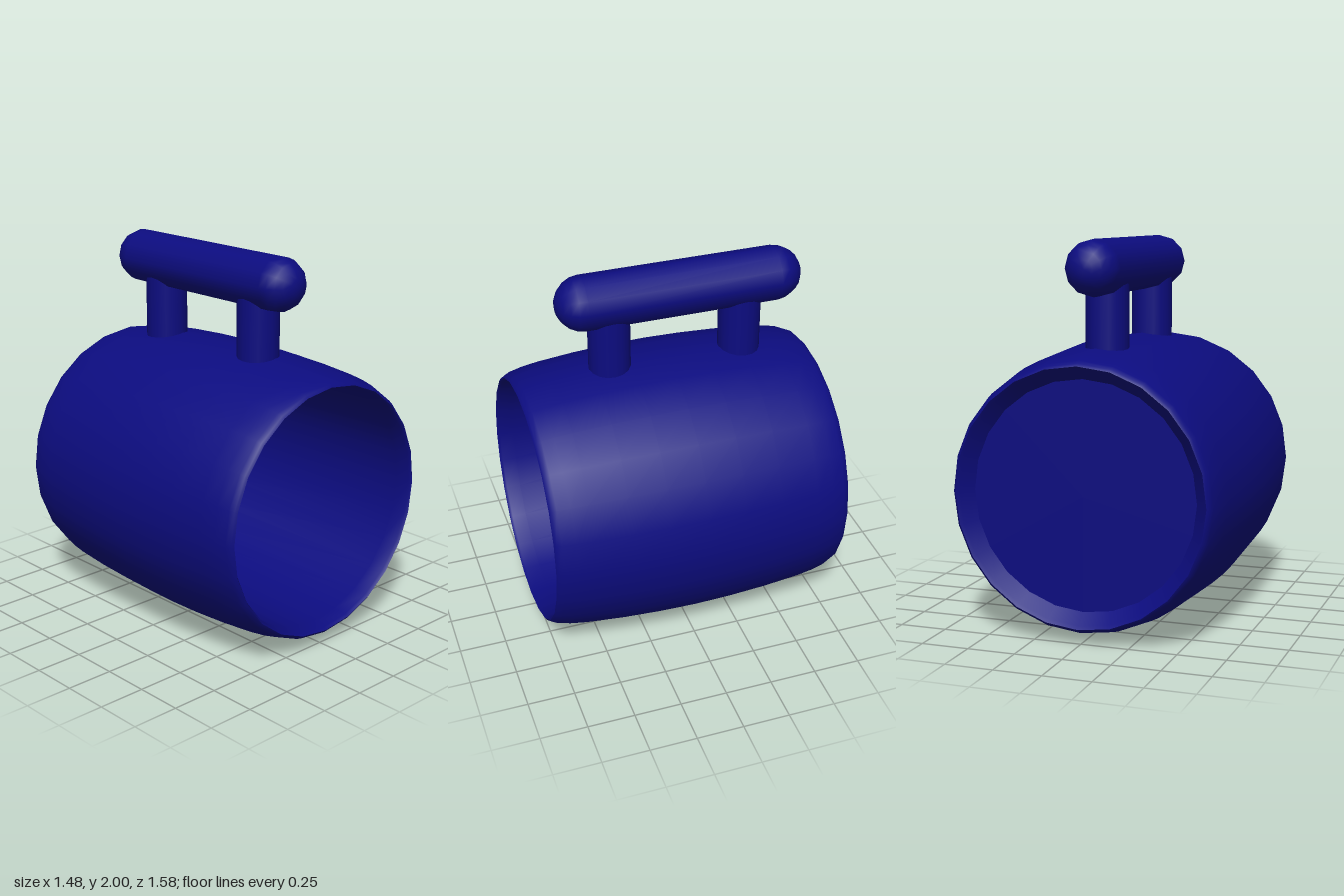
import * as THREE from 'three';

export function createModel() {
  const model = new THREE.Group();
  const blue = new THREE.MeshStandardMaterial({ color: 0x0c0c80 });
  const centreY = 0.742;

  const add = (name, geometry, x, y, z) => {
    const mesh = new THREE.Mesh(geometry, blue);
    mesh.name = name;
    mesh.position.set(x, y, z);
    model.add(mesh);
  };

  // Turned part whose axis lies along z; points are [radius, z]
  const turned = (name, points) => {
    const profile = points.map(([r, z]) => new THREE.Vector2(r, z));
    add(name, new THREE.LatheGeometry(profile, 24).rotateX(Math.PI / 2), 0, centreY, 0);
  };

  // Barrel-shaped cup lying on its side, open at the front
  const half = [[0.739, 0], [0.735, 0.2], [0.725, 0.4], [0.708, 0.6],
    [0.695, 0.69], [0.68, 0.755], [0.668, 0.78], [0.655, 0.79]];
  const mirrored = half.slice(1).reverse().map(([r, z]) => [r, -z]);
  turned('outerWall', [...mirrored, ...half]);

  // Recessed underside inside a foot ring
  turned('base', [[0, -0.71], [0.585, -0.71]]);
  turned('footRing', [[0.585, -0.71], [0.64, -0.775], [0.655, -0.79]]);

  // Tapering inside of the cup
  turned('innerWall', [[0.655, 0.79], [0.643, 0.775], [0.635, 0.7],
    [0.6, -0.54], [0.57, -0.63]]);
  turned('innerFloor', [[0.57, -0.63], [0, -0.63]]);

  // Rounded grip bar above the cup
  const grip = new THREE.CapsuleGeometry(0.142, 1.02, 5, 12).rotateX(Math.PI / 2);
  add('grip', grip, -0.016, 1.858, -0.08);

  // Two posts joining grip and cup
  for (const z of [0.295, -0.41]) {
    add('gripPost', new THREE.CylinderGeometry(0.11, 0.11, 0.44, 16), -0.02, 1.62, z);
  }
  return model;
}
